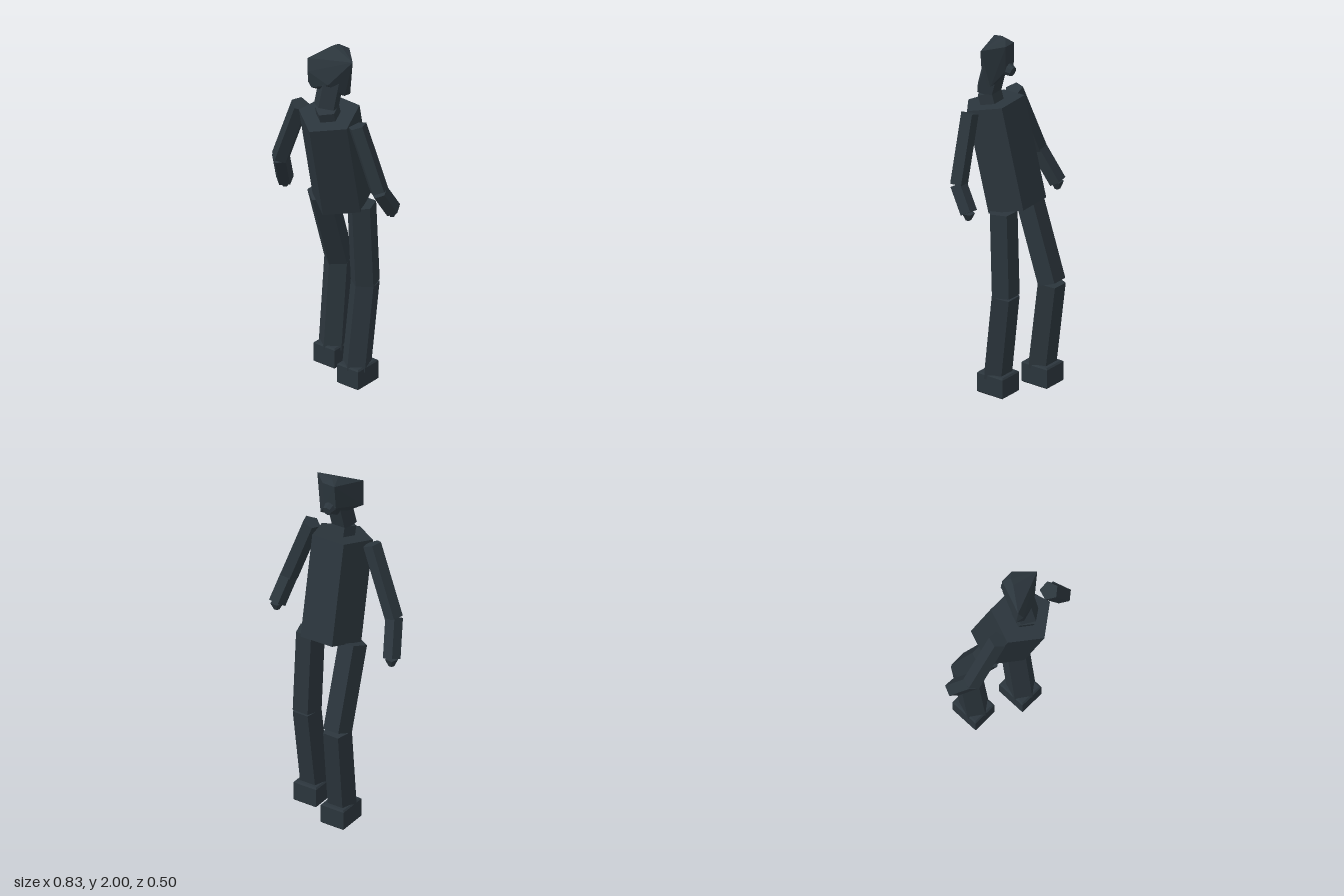
import * as THREE from 'three';
import { ConvexGeometry } from 'three/addons/geometries/ConvexGeometry.js';

const charcoal = new THREE.MeshStandardMaterial({ color: 0x2b353c, flatShading: true });
charcoal.name = 'charcoal';

const v = (p) => new THREE.Vector3(...p);

function add(parent, name, geometry) {
  const mesh = new THREE.Mesh(geometry, charcoal);
  mesh.name = name;
  parent.add(mesh);
  return mesh;
}

// Prism from point a to point b, with a corner towards the front
function prism(parent, name, a, b, r, sides = 5, rEnd = r) {
  const from = v(a), to = v(b);
  const dir = to.clone().sub(from);
  // Upward axis keeps the corner of every section facing the front
  const up = dir.y >= 0;
  const axis = dir.clone().normalize().multiplyScalar(up ? 1 : -1);
  const geo = new THREE.CylinderGeometry(up ? rEnd : r, up ? r : rEnd, dir.length(), sides);
  const mesh = add(parent, name, geo);
  mesh.quaternion.setFromUnitVectors(new THREE.Vector3(0, 1, 0), axis);
  mesh.position.copy(from).add(to).multiplyScalar(0.5);
  return mesh;
}

// Block foot with slightly bevelled edges
function foot(parent, name, x, z) {
  const b = 0.008, w = 0.072 - b, d = 0.085 - b;
  const pts = [];
  for (const sx of [-1, 1]) for (const sz of [-1, 1]) {
    for (const [y, e] of [[0, 0], [b, b], [0.112, b], [0.12, 0]]) {
      pts.push(new THREE.Vector3(x + sx * (w + e), y, z + sz * (d + e)));
    }
  }
  add(parent, name, new ConvexGeometry(pts));
}

export function createModel() {
  const model = new THREE.Group();
  model.name = 'figure';

  // Trunk and neck
  prism(model, 'torso', [0.01, 1.055, -0.05], [0.024, 1.615, 0.082], 0.169);
  prism(model, 'neckBase', [0.028, 1.585, 0.085], [0.03, 1.665, 0.108], 0.068);
  prism(model, 'neck', [0.03, 1.675, 0.112], [0.034, 1.83, 0.068], 0.069);

  // Faceted head, turned to one side
  const head = new THREE.Group();
  head.name = 'head';
  model.add(head);
  add(head, 'skull', new ConvexGeometry([
    [-0.07, 1.945, 0.145], [0.165, 1.96, 0.058], [0.012, 2.0, 0.03], [0.03, 1.997, -0.005],
    [-0.005, 1.975, -0.035], [0.068, 1.975, -0.035], [-0.01, 1.84, -0.028], [0.062, 1.83, -0.028],
    [-0.075, 1.8, 0.135], [-0.05, 1.88, 0.165], [-0.035, 1.785, 0.155], [0.145, 1.88, 0.045],
    [0.108, 1.74, 0.055], [0.122, 1.745, 0.025], [0.02, 1.765, 0.02], [0.06, 1.82, 0.135],
  ].map(v)));
  prism(head, 'hairKnot', [0.03, 1.83, -0.02], [0.03, 1.822, -0.054], 0.036, 8, 0.026);

  // Arms: shoulder, elbow, wrist, fingertip
  const arms = {
    right: [[-0.162, 1.613, 0.088], [-0.322, 1.23, 0.055], [-0.37, 1.04, -0.04], [-0.37, 0.997, -0.042]],
    left: [[0.222, 1.613, 0.09], [0.35, 1.255, 0.065], [0.37, 1.12, -0.018], [0.37, 1.08, -0.018]],
  };
  for (const [side, [shoulder, elbow, wrist, tip]] of Object.entries(arms)) {
    const arm = new THREE.Group();
    arm.name = side + 'Arm';
    model.add(arm);
    prism(arm, 'upperArm', shoulder, elbow, 0.051);
    prism(arm, 'forearm', elbow, wrist, 0.049);
    prism(arm, 'hand', wrist, tip, 0.036, 5, 0.016);
  }

  // Legs: hip, knee, ankle
  const legs = {
    right: [[-0.12, 1.055, -0.035], [-0.124, 0.59, -0.185], [-0.116, 0.09, -0.127]],
    left: [[0.13, 1.055, -0.06], [0.138, 0.58, -0.08], [0.128, 0.09, -0.02]],
  };
  for (const [side, [hip, knee, ankle]] of Object.entries(legs)) {
    const leg = new THREE.Group();
    leg.name = side + 'Leg';
    model.add(leg);
    prism(leg, 'thigh', hip, knee, 0.08);
    prism(leg, 'shin', knee, ankle, 0.08);
    foot(leg, 'foot', ankle[0], ankle[2] - 0.01);
  }
  return model;
}
